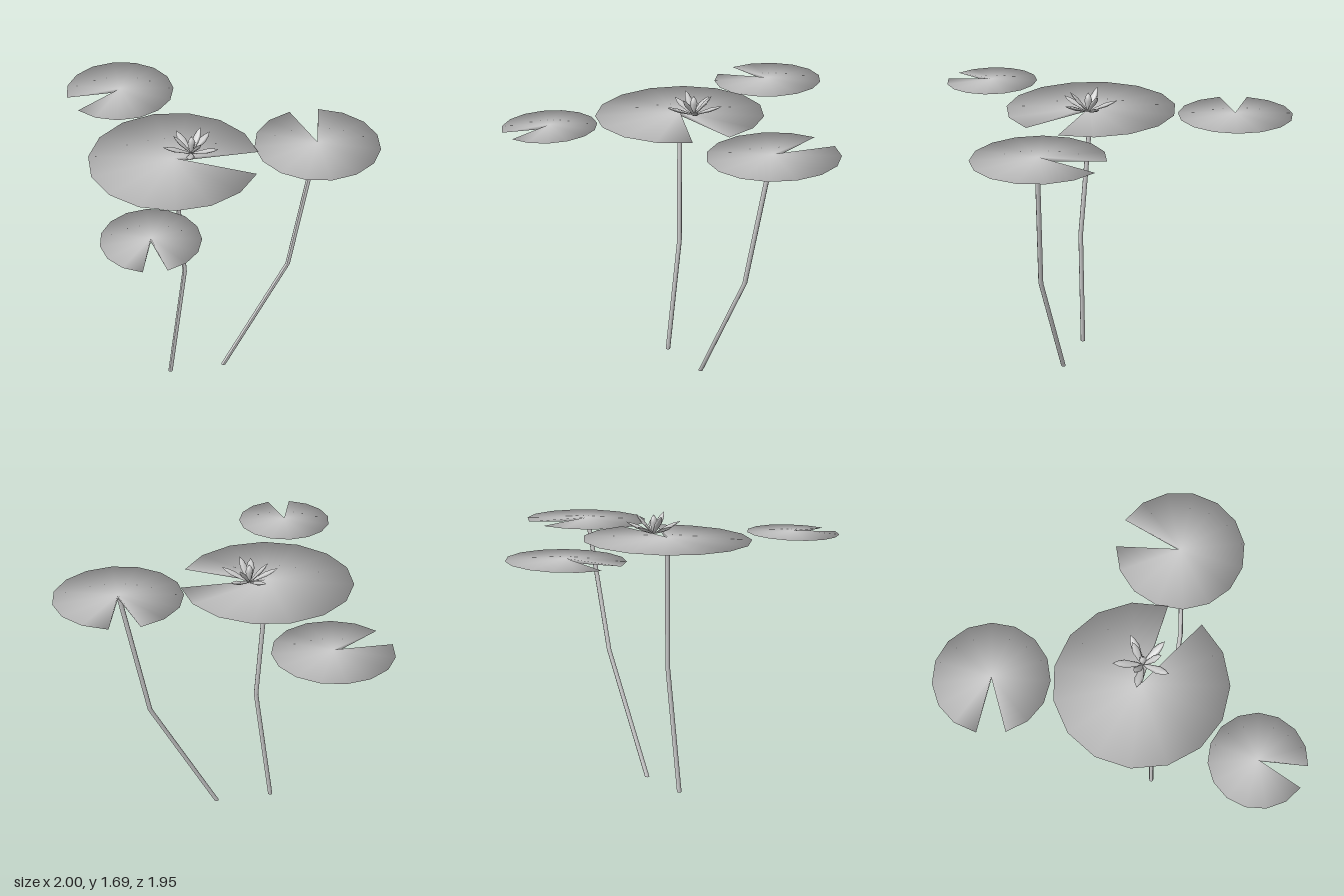
import * as THREE from 'three';

const grey = new THREE.MeshStandardMaterial({ color: 0xcccccc });
grey.name = 'plain grey';

const rad = THREE.MathUtils.degToRad;

// Thin lens-shaped leaf with a wedge notch; angles run from +x towards +z
function padGeometry(radius, startDeg, sweepDeg, segments = 14) {
  const pos = [0, 0.012, 0, 0, -0.012, 0];
  const index = [];
  for (let i = 0; i <= segments; i++) {
    const a = rad(startDeg + (sweepDeg * i) / segments);
    pos.push(Math.cos(a) * radius, -0.008 * Math.sin(a), Math.sin(a) * radius);
    if (i < segments) {
      const r = i + 2;
      index.push(0, r + 1, r, 1, r, r + 1);
    }
  }
  // notch walls
  index.push(0, 2, 1, 0, 1, segments + 2);
  const geo = new THREE.BufferGeometry();
  geo.setAttribute('position', new THREE.Float32BufferAttribute(pos, 3));
  geo.setIndex(index);
  geo.computeVertexNormals();
  return geo;
}

// Bent stalk: a cylinder whose three rings are moved onto the given points
function stemGeometry(points) {
  const geo = new THREE.CylinderGeometry(0.014, 0.014, 2, 8, 2);
  const p = geo.attributes.position;
  for (let i = 0; i < p.count; i++) {
    const [x, y, z] = points[Math.round(p.getY(i)) + 1];
    p.setXYZ(i, p.getX(i) + x, y, p.getZ(i) + z);
  }
  geo.computeVertexNormals();
  return geo;
}

// Pointed spindle of unit length along +y
function petalGeometry(width) {
  const profile = [[0, 0], [0.55, 0.2], [1, 0.6], [0.65, 0.82], [0, 1]]
    .map(([r, y]) => new THREE.Vector2(r * width / 2, y));
  return new THREE.LatheGeometry(profile, 6);
}

export function createModel() {
  const model = new THREE.Group();
  model.name = 'waterLily';
  const add = (parent, name, geo) => {
    const mesh = new THREE.Mesh(geo, grey);
    mesh.name = name;
    parent.add(mesh);
    return mesh;
  };

  // Floating leaves: x, z, radius, notch end angle, sweep
  const pads = [
    ['largePad', -0.09, -0.06, 0.495, -4.3, 334.3],
    ['rightBackPad', 0.63, -0.52, 0.37, 253, 332.6],
    ['leftBackPad', -0.68, -0.65, 0.33, 145, 331.6],
    ['frontPad', 0.08, 0.7, 0.275, 76.5, 332.5],
  ];
  for (const [name, x, z, r, start, sweep] of pads) {
    add(model, name, padGeometry(r, start, sweep)).position.set(x, 1.557, z);
  }

  // Stalks
  add(model, 'largePadStem', stemGeometry(
    [[-0.09, 0, 0.01], [-0.02, 0.77, -0.055], [-0.09, 1.555, -0.06]]));
  add(model, 'rightPadStem', stemGeometry(
    [[0.2, 0, -0.17], [0.525, 0.74, -0.39], [0.63, 1.555, -0.51]]));

  // Flower: five spread petals, three raised petals and a central bud
  const flower = new THREE.Group();
  flower.name = 'flower';
  flower.position.set(-0.01, 1.575, -0.135);
  model.add(flower);

  const addPetal = (name, angleDeg, reach, rise, width, thickness) => {
    const pivot = new THREE.Group();
    pivot.name = name;
    pivot.rotation.y = -rad(angleDeg);
    flower.add(pivot);
    const petal = add(pivot, name + 'Blade', petalGeometry(1));
    petal.scale.set(thickness, Math.hypot(reach, rise), width);
    petal.rotation.z = -Math.atan2(reach, rise);
  };
  for (let i = 0; i < 5; i++) addPetal('outerPetal', i * 72, 0.167, 0.065, 0.05, 0.02);
  for (let i = 0; i < 3; i++) addPetal('innerPetal', 38 + i * 120, 0.105, 0.118, 0.045, 0.02);
  addPetal('centreBud', 0, 0, 0.115, 0.045, 0.045);

  return model;
}
